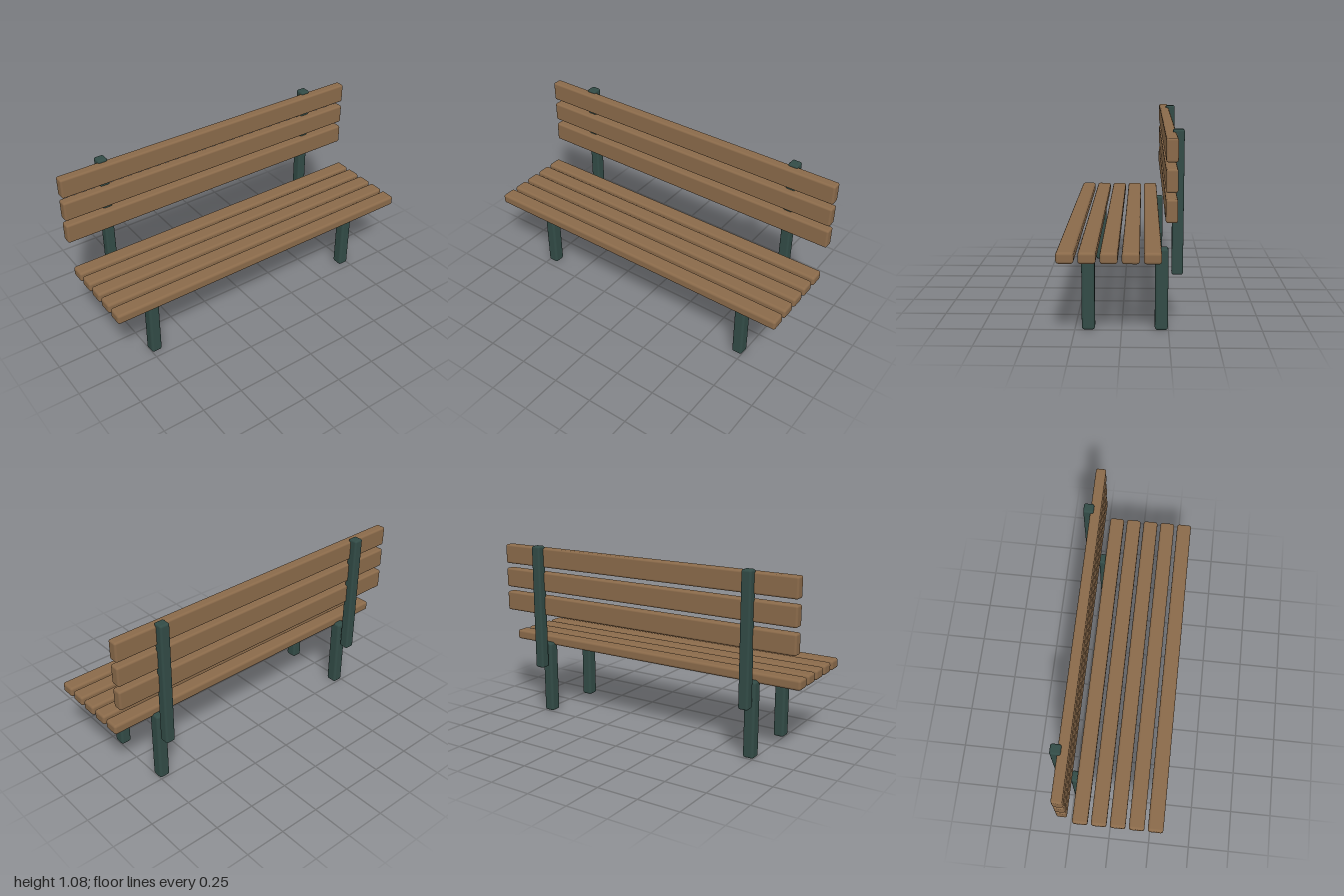
import * as THREE from 'three';
import { RoundedBoxGeometry } from 'three/addons/geometries/RoundedBoxGeometry.js';

export function createModel() {
  const bench = new THREE.Group();
  bench.name = 'bench';
  const wood = new THREE.MeshStandardMaterial({ color: 0x8a6a4a });
  wood.name = 'brown wood';
  const iron = new THREE.MeshStandardMaterial({ color: 0x324b46 });
  iron.name = 'dark green metal';

  // Softly rounded bar, placed by its centre
  function bar(name, material, [w, h, d], [x, y, z], radius) {
    const mesh = new THREE.Mesh(new RoundedBoxGeometry(w, h, d, 3, radius), material);
    mesh.name = name;
    mesh.position.set(x, y, z);
    bench.add(mesh);
  }

  // Seat: five slats from front to back
  for (let i = 0; i < 5; i++) {
    bar(`seatSlat${i + 1}`, wood, [2, 0.06, 0.09], [0, 0.461, 0.278 - i * 0.11], 0.015);
  }

  // Backrest: three upright slats
  for (let i = 0; i < 3; i++) {
    bar(`backSlat${i + 1}`, wood, [2, 0.119, 0.06], [0, 0.701 + i * 0.15, -0.253], 0.012);
  }

  // Legs and backrest posts, mirrored left and right
  for (const [side, x] of [['left', 0.72], ['right', -0.72]]) {
    bar(`${side}FrontLeg`, iron, [0.067, 0.45, 0.07], [x, 0.225, 0.178], 0.015);
    bar(`${side}BackLeg`, iron, [0.067, 0.45, 0.07], [x, 0.225, -0.212], 0.015);
    bar(`${side}BackPost`, iron, [0.06, 0.768, 0.06], [x, 0.691, -0.293], 0.012);
  }
  return bench;
}
